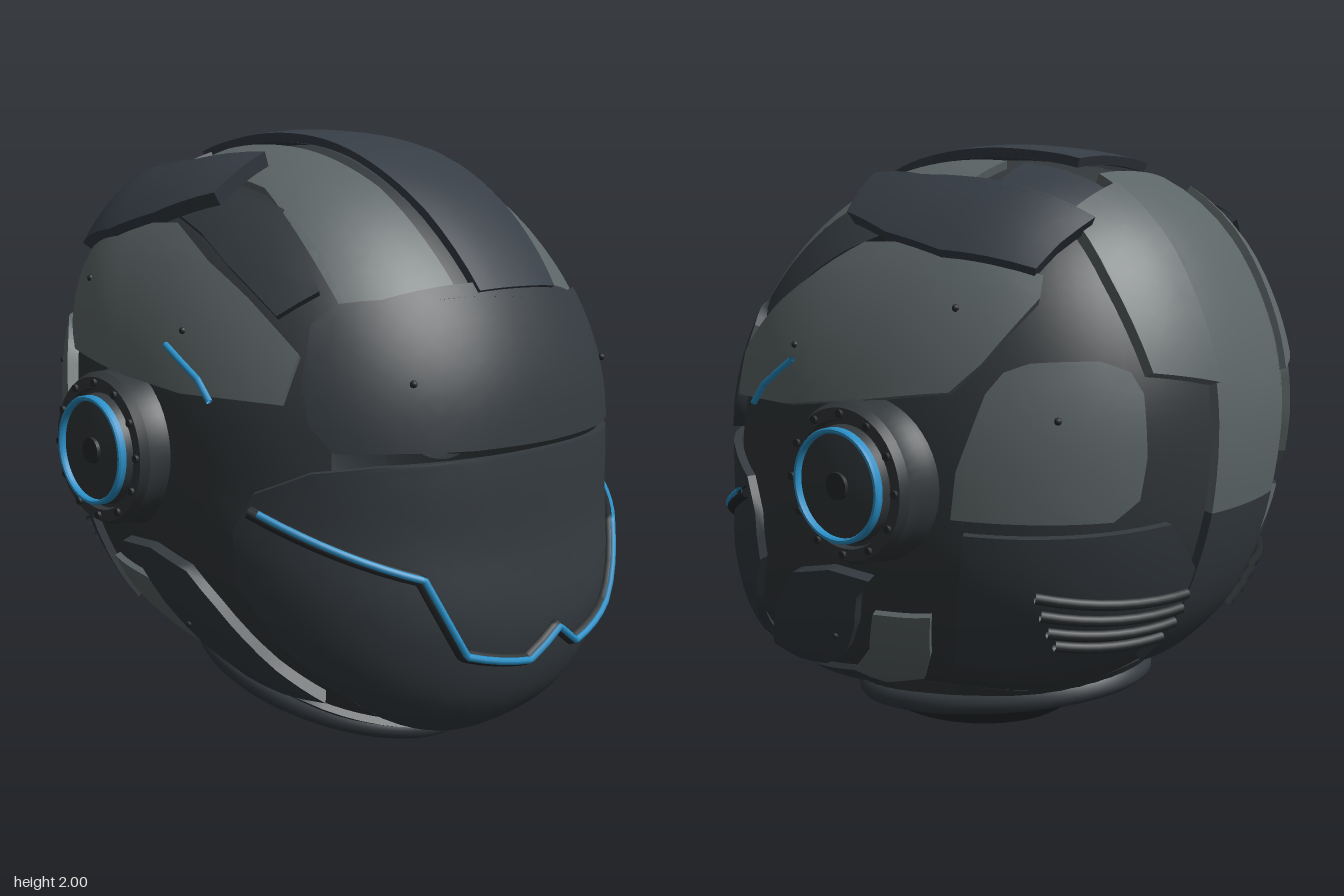
import * as THREE from 'three';
import { toCreasedNormals } from 'three/addons/utils/BufferGeometryUtils.js';

const V = (x, y, z) => new THREE.Vector3(x, y, z);
const mat = (name, color) => Object.assign(new THREE.MeshStandardMaterial({ color, side: THREE.DoubleSide }), { name });

// Helmet form: side profile radius every 15 degrees about (y 1, z 0), from the front up and over
const PROFILE = [.93, .93, .93, .935, .95, .968, .98, 1.005, 1.05, 1.06, 1.035, 1.005,
  .97, .953, .952, .935, .92, .885, .89, .965, 1.085, 1.165, 1.095, .968];
const W = .84, P = 2.3;
function radius(phi) {
  const f = ((phi / (Math.PI * 2) + 2) % 1) * 24, i = Math.floor(f), t = f - i;
  const [a, b, c, d] = [-1, 0, 1, 2].map(k => PROFILE[(i + k + 24) % 24]);
  return b + .5 * t * (c - a + t * (2 * a - 5 * b + 4 * c - d + t * (3 * (b - c) + d - a)));
}
const level = (x, y, z) => (Math.abs(x) / W) ** P + (Math.hypot(y, z) / radius(Math.atan2(y, z))) ** P;
// push a point radially onto the form, scaled by s
function onForm(p, s = 1) {
  const k = s * level(p.x, p.y - 1, p.z) ** (-1 / P);
  return V(p.x * k, 1 + (p.y - 1) * k, p.z * k);
}
const rest = q => Math.max(0, 1 - q ** P) ** (1 / P);
function root(f, hi) {
  let lo = 0;
  for (let i = 0; i < 40; i++) { const m = (lo + hi) / 2; if (f(m) < 1) lo = m; else hi = m; }
  return lo;
}
// ways of placing an outline on the form
const charts = {
  side: ([z, y]) => V(W * rest(Math.hypot(z, y - 1) / radius(Math.atan2(y - 1, z))), y, z),
  arc: ([x, deg]) => {
    const a = deg * Math.PI / 180, r = radius(a) * rest(Math.abs(x) / W);
    return V(x, 1 + r * Math.sin(a), r * Math.cos(a));
  },
  top: ([x, z]) => V(x, 1 + root(y => level(x, y, z), 1.4), z),
  front: ([x, y]) => V(x, y, root(z => level(x, y - 1, z), 1.4)),
  free: ([x, y, z]) => V(x, y, z),
};
function place(chart, p, s) {
  const q = chart === 'arc' ? [p[0] / s, p[1]] : chart === 'top' ? [p[0] / s, p[1] / s]
    : chart === 'free' ? p : [p[0] / s, 1 + (p[1] - 1) / s];
  return onForm(charts[chart](q));
}
const STEP = .08;
const middle = (a, b) => onForm(a.clone().add(b).multiplyScalar(.5));
function splitEdge(a, b, out) {
  if (a.distanceTo(b) > STEP) { const m = middle(a, b); splitEdge(a, m, out); splitEdge(m, b, out); } else out.push(a);
}
function splitTri(a, b, c, out) {
  const l = [a.distanceTo(b), b.distanceTo(c), c.distanceTo(a)], m = Math.max(...l);
  if (m <= STEP) return out.push([a, b, c]);
  if (l[1] === m) [a, b, c] = [b, c, a]; else if (l[2] === m) [a, b, c] = [c, a, b];
  const h = middle(a, b);
  splitTri(a, h, c, out); splitTri(h, b, c, out);
}
// Curved plate with thickness: outer face, inner face and rim
function plateGeometry(corners, faces, s, t) {
  const pos = [], C = V(0, 1, 0);
  const at = (p, k) => p.clone().sub(C).multiplyScalar(k).add(C);
  const put = (...ps) => ps.forEach(p => pos.push(p.x, p.y, p.z));
  const tris = [];
  faces.forEach(f => splitTri(...f.map(i => corners[i]), tris));
  for (let [a, b, c] of tris) {
    const n = b.clone().sub(a).cross(c.clone().sub(a));
    if (n.dot(a.clone().sub(C)) < 0) [b, c] = [c, b];
    put(at(a, s), at(b, s), at(c, s), at(a, s - t), at(c, s - t), at(b, s - t));
  }
  const n = V(0, 0, 0), mid = V(0, 0, 0);
  corners.forEach((p, i) => { n.add(p.clone().sub(C).cross(corners[(i + 1) % corners.length].clone().sub(C))); mid.add(p).sub(C); });
  const ring = [], loop = n.dot(mid) < 0 ? [...corners].reverse() : corners;
  loop.forEach((p, i) => splitEdge(p, loop[(i + 1) % loop.length], ring));
  ring.forEach((p, i) => {
    const q = ring[(i + 1) % ring.length];
    put(at(p, s - t), at(q, s - t), at(q, s), at(p, s - t), at(q, s), at(p, s));
  });
  const g = new THREE.BufferGeometry();
  g.setAttribute('position', new THREE.Float32BufferAttribute(pos, 3));
  return toCreasedNormals(g, .6);
}
// Smooth wall between two closed loops of points
function wall(upper, lower) {
  const g = new THREE.BufferGeometry(), pos = [], idx = [], n = upper.length;
  upper.forEach((p, i) => {
    const a = i * 2, b = ((i + 1) % n) * 2;
    pos.push(...p.toArray(), ...lower[i].toArray());
    idx.push(a, a + 1, b, b, a + 1, b + 1);
  });
  g.setAttribute('position', new THREE.Float32BufferAttribute(pos, 3));
  g.setIndex(idx);
  g.computeVertexNormals();
  return g;
}
const bothSides = pts => [...pts, ...pts.filter(p => p[0] !== 0).reverse().map(([x, ...r]) => [-x, ...r])];

export function createModel() {
  const model = new THREE.Group();
  model.name = 'helmet';
  const shellMat = mat('charcoal shell', 0x32373a), visorMat = mat('visor graphite', 0x343a3f);
  const slate = mat('slate plate', 0x363d45), grey = mat('grey plate', 0x5c6566);
  const black = mat('black trim', 0x25292b), blue = mat('blue light', 0x298fc6);
  const add = (name, geo, m, parent = model) => {
    const o = new THREE.Mesh(geo, m); o.name = name; parent.add(o); return o;
  };
  const plate = (name, m, chart, pts, s = 1, t = .035, mirror = true) => {
    const faces = THREE.ShapeUtils.triangulateShape(pts.map(p => new THREE.Vector2(p[0], p[1])), []);
    const right = pts.map(p => place(chart, p, s));
    add(name, plateGeometry(right, faces, s, t), m);
    if (mirror) add(name + 'Mirror', plateGeometry(right.map(p => V(-p.x, p.y, p.z)), faces, s, t), m);
  };
  const rod = (name, m, chart, pts, s, r, mirror = true) => {
    const c = pts.map(p => place(chart, p, s)), line = [];
    for (let i = 0; i + 1 < c.length; i++) splitEdge(c[i], c[i + 1], line);
    line.push(c[c.length - 1]);
    for (const k of mirror ? [1, -1] : [1]) {
      const path = new THREE.CurvePath(), q = line.map(p => onForm(p, s).multiply(V(k, 1, 1)));
      for (let i = 0; i + 1 < q.length; i++) path.add(new THREE.LineCurve3(q[i], q[i + 1]));
      add(name, new THREE.TubeGeometry(path, line.length * 6, r, 8), m);
    }
  };

  // Base shell, open at the face and the neck
  const ball = new THREE.SphereGeometry(1, 96, 72), bp = ball.attributes.position, keep = [];
  for (let i = 0; i < bp.count; i++) {
    const p = onForm(V(bp.getX(i), 1 + bp.getY(i), bp.getZ(i)), .968);
    bp.setXYZ(i, p.x, p.y, p.z);
  }
  for (let i = 0; i < ball.index.count; i += 3) {
    const ids = [0, 1, 2].map(k => ball.index.getX(i + k));
    const c = [0, 1, 2].map(k => ids.reduce((sum, j) => sum + bp.array[j * 3 + k], 0) / 3);
    const face = c[2] > .6 && c[1] > .35 && c[1] < 1.25 && Math.abs(c[0]) < .62;
    const neck = c[1] < .45 && (c[0] / .4) ** 2 + (c[2] / .53) ** 2 < 1;
    if (!face && !neck) keep.push(...ids);
  }
  ball.setIndex(keep);
  ball.deleteAttribute('normal');
  ball.deleteAttribute('uv');
  add('shell', toCreasedNormals(ball, .8), shellMat);

  // Crown: crest, stripes and raised side fins
  plate('crest', slate, 'arc', bothSides([[.185, 32], [.205, 50], [.217, 72], [.22, 92], [.2, 116]]), 1.02, .03, false);
  plate('crownStripe', grey, 'arc', [[.235, 30], [.255, 60], [.27, 104], [.46, 104], [.5, 75], [.53, 50], [.55, 30]], .995, .035);
  plate('templePlate', visorMat, 'side', [[.45, 1.43], [.53, 1.5], [.32, 1.73], [.1, 1.79], [-.1, 1.73], [.1, 1.66], [.25, 1.57]], .995);
  plate('rearCrownPlate', slate, 'top', [[.28, -.31], [.48, -.32], [.55, -.56], [.45, -.61], [.25, -.59]], 1);
  plate('fin', slate, 'side', [[.16, 1.905], [.12, 1.78], [-.1, 1.72], [-.32, 1.67], [-.6, 1.62], [-.63, 1.69], [-.67, 1.76],
    [-.4, 1.845], [-.1, 1.89]], 1.05, .05);

  // Back: spine strip and flanking stripes
  plate('spineUpper', grey, 'arc', bothSides([[.195, 120.5], [.205, 138], [.21, 160], [.2, 186]]), 1, .03, false);
  plate('spineLower', visorMat, 'arc', bothSides([[.2, 186], [.195, 204], [.17, 222]]), 1, .03, false);
  plate('backStripe', grey, 'arc', [[.225, 125], [.23, 140], [.22, 163], [.44, 159], [.465, 141], [.44, 127]], 1.02, .045);

  // Sides
  plate('sidePlate', grey, 'side', [[.55, 1.33], [.37, 1.48], [.2, 1.58], [0, 1.69], [-.3, 1.68], [-.6, 1.6], [-.61, 1.54],
    [-.5, 1.36], [-.42, 1.28], [-.1, 1.235], [.2, 1.2], [.53, 1.19]], 1.015, .04);
  plate('rearSidePlate', grey, 'side', [[-.43, .92], [-.45, 1.06], [-.52, 1.28], [-.56, 1.34], [-.62, 1.365], [-.77, 1.37],
    [-.83, 1.34], [-.86, 1.28], [-.875, 1.1], [-.86, .98], [-.81, .92]], 1.015, .04);
  plate('rearLowerPlate', visorMat, 'side', [[-.45, .87], [-.89, .89], [-.89, .72], [-.81, .54], [-.69, .42], [-.31, .42], [-.38, .58]], .995, .03);
  plate('cheekPlate', visorMat, 'side', [[.56, .28], [.45, .38], [.3, .56], [.2, .66], [.03, .7], [-.13, .69], [-.06, .62],
    [0, .5], [.1, .38], [.25, .29], [.4, .27]], 1.015, .04);
  plate('jawPlate', grey, 'side', [[.2, .255], [.02, .4], [-.08, .56], [-.3, .59], [-.23, .43], [-.1, .29], [.15, .19]], .99, .03);
  plate('jawPlateFront', visorMat, 'side', [[.7, .125], [.4, .22], [.2, .255], [.15, .19], [.45, .13]], .99, .03);
  [[.69, .65, .875], [.63, .6, .855], [.57, .55, .83], [.52, .5, .795]].forEach(([a, b, z]) =>
    rod('ventRib', black, 'side', [[-.62, a], [-z, b]], 1.01, .017));

  // Face: brow guard, visor and light strip
  plate('browGuard', visorMat, 'free', bothSides([[0, 1.48, .83], [.32, 1.477, .76], [.58, 1.475, .6], [.63, 1.41, .55],
    [.665, 1.25, .55], [.655, 1.13, .57], [.6, 1.055, .61], [.3, 1.052, .87], [0, 1.05, .92]]), 1.008, .04, false);
  plate('visor', visorMat, 'free', bothSides([[0, 1.03, .93], [.3, 1.028, .89], [.55, 1.02, .72], [.66, 1, .58],
    [.765, .93, .45], [.79, .82, .39], [.785, .66, .39], [.71, .48, .5], [.54, .3, .64], [.36, .17, .72], [0, .11, .76]]), 1.005, .03, false);
  const light = [[-.78, .88], [-.48, .7], [-.36, .46], [-.12, .4], [0, .48], [.12, .4], [.36, .46], [.48, .7], [.78, .88]];
  rod('lightStripHousing', black, 'front', light, 1.012, .02, false);
  rod('lightStrip', blue, 'front', light, 1.028, .011, false);
  rod('templeLight', blue, 'side', [[.34, 1.19], [.29, 1.25], [.15, 1.34]], 1.045, .01);

  // Small pins on the plates
  const pins = [['side', [-.4, 1.51]], ['side', [.18, 1.38]], ['side', [-.7, 1.21]], ['side', [.1, .45]], ['front', [.47, 1.25]]];
  for (const [chart, p] of pins) for (const k of [1, -1]) {
    const q = onForm(place(chart, p, 1.015), 1.015);
    add('pin', new THREE.SphereGeometry(.011, 10, 8), black).position.set(q.x * k, q.y, q.z);
  }

  // Ear discs
  const lathe = pts => toCreasedNormals(new THREE.LatheGeometry(pts.map(p => new THREE.Vector2(...p)), 48), .5);
  const housing = [[.26, .7], [.25, .8], [.24, .82], [.24, .88], [.225, .905], [.19, .905], [.185, .885], [.175, .885],
    [.17, .915], [.155, .92], [0, .92]];
  for (const k of [1, -1]) {
    const ear = new THREE.Group();
    ear.name = k > 0 ? 'leftEar' : 'rightEar';
    ear.position.set(0, 1, -.12);
    ear.rotation.z = -k * Math.PI / 2;
    add('earHousing', lathe(housing), shellMat, ear);
    add('earLight', lathe([[.17, .912], [.17, .934], [.166, .94], [.158, .94], [.154, .934], [.154, .912]]), blue, ear);
    add('earCap', new THREE.CylinderGeometry(.04, .04, .02, 24), black, ear).position.y = .922;
    for (let i = 0; i < 12; i++) {
      const a = i * Math.PI / 6;
      add('earBolt', new THREE.CylinderGeometry(.012, .012, .02, 8), black, ear).position.set(.208 * Math.cos(a), .905, .208 * Math.sin(a));
    }
    model.add(ear);
  }

  // Neck: band under the shell, padded ring and collar
  const loop = f => Array.from({ length: 48 }, (_, i) => f(Math.sin(i * Math.PI / 24), Math.cos(i * Math.PI / 24)));
  const ringPts = loop((s, c) => V(.4 * s, .143 - .1 * c, .54 * c));
  add('neckBand', wall(loop((s, c) => onForm(V(.45 * s, .2 - .1 * c, .59 * c), .972)), ringPts), shellMat);
  add('neckRing', new THREE.TubeGeometry(new THREE.CatmullRomCurve3(ringPts, true), 96, .038, 12, true), visorMat);
  add('neckCollar', wall(loop((s, c) => V(.38 * s, .145 - .1 * c, .51 * c)), loop((s, c) => V(.33 * s, .045, .11 + .36 * c))), black);
  return model;
}
